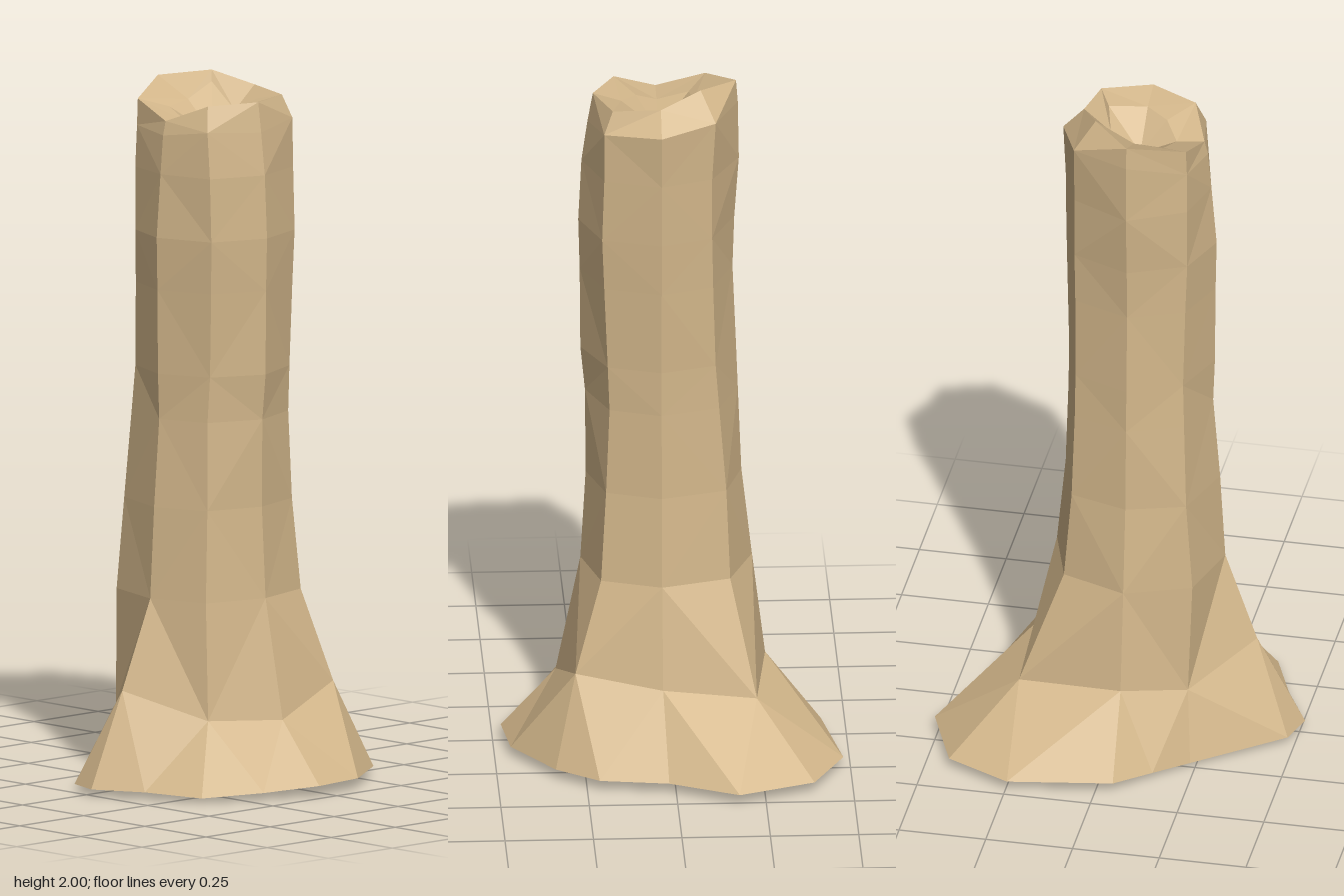
import * as THREE from 'three';

const bark = new THREE.MeshStandardMaterial({ color: 0xd2b68a, flatShading: true });
bark.name = 'bark';

// Eight corners run east, north-east, north ... south-east (north is the back).
function octagon([y, east, west, front, back, dEast, dWest, dFront, dBack]) {
  const cx = 0.03, cz = 0.04;
  return [
    [east, y, cz], [dEast, y, dBack], [cx, y, back], [dWest, y, dBack],
    [west, y, cz], [dWest, y, dFront], [cx, y, front], [dEast, y, dFront],
  ];
}

// Adds a point halfway along every side of a ring.
function withMidpoints(ring) {
  return ring.flatMap((p, i) => {
    const q = ring[(i + 1) % ring.length];
    return [p, p.map((v, k) => (v + q[k]) / 2)];
  });
}

const pointRing = (p, n) => Array.from({ length: n }, () => p);

// Skins a stack of rings with equal point counts, skipping empty triangles.
function skin(name, rings) {
  const pos = [];
  const same = (p, q) => p.every((v, k) => v === q[k]);
  const tri = (a, b, c) => {
    if (!same(a, b) && !same(b, c) && !same(a, c)) pos.push(...a, ...b, ...c);
  };
  for (let r = 0; r + 1 < rings.length; r++) {
    const lo = rings[r], hi = rings[r + 1], n = lo.length;
    for (let i = 0; i < n; i++) {
      const j = (i + 1) % n;
      if ((i + r) % 2) {
        tri(lo[i], lo[j], hi[j]);
        tri(lo[i], hi[j], hi[i]);
      } else {
        tri(lo[i], lo[j], hi[i]);
        tri(lo[j], hi[j], hi[i]);
      }
    }
  }
  const g = new THREE.BufferGeometry();
  g.setAttribute('position', new THREE.Float32BufferAttribute(pos, 3));
  g.computeVertexNormals();
  const mesh = new THREE.Mesh(g, bark);
  mesh.name = name;
  return mesh;
}

export function createModel() {
  const group = new THREE.Group();
  group.name = 'brokenTreeTrunk';

  // Uneven outline of the spreading roots on the ground
  const ground = [
    [0.475, 0.03, 0.045], [0.455, 0.03, -0.125], [0.335, 0.03, -0.3], [0.215, 0.03, -0.39],
    [0.02, 0.03, -0.42], [-0.175, 0.03, -0.515], [-0.39, 0.03, -0.43], [-0.48, 0.03, -0.245],
    [-0.43, 0.03, 0.05], [-0.335, 0.02, 0.145], [-0.245, 0.01, 0.235], [-0.07, 0.02, 0.48],
    [0.03, 0.02, 0.51], [0.17, 0.02, 0.435], [0.335, 0.015, 0.37], [0.41, 0.02, 0.2],
  ];

  // Where the roots meet the trunk
  const ankle = [
    [0.32, 0.2, 0.04], [0.275, 0.28, -0.2], [0.03, 0.25, -0.265], [-0.235, 0.22, -0.26],
    [-0.272, 0.24, 0.04], [-0.178, 0.21, 0.215], [0.015, 0.285, 0.375], [0.235, 0.21, 0.25],
  ];

  // Trunk sections: y, east, west, front, back, then the diagonal corners
  const sections = [
    [0.54, 0.25, -0.235, 0.28, -0.205, 0.2, -0.165, 0.225, -0.145],
    [0.8, 0.235, -0.205, 0.265, -0.18, 0.185, -0.155, 0.205, -0.125],
    [1.05, 0.237, -0.195, 0.245, -0.172, 0.175, -0.135, 0.195, -0.12],
    [1.18, 0.25, -0.19, 0.25, -0.17, 0.18, -0.125, 0.19, -0.12],
    [1.42, 0.252, -0.18, 0.252, -0.175, 0.19, -0.118, 0.195, -0.122],
    [1.57, 0.256, -0.185, 0.255, -0.178, 0.196, -0.115, 0.2, -0.125],
    [1.75, 0.247, -0.198, 0.24, -0.18, 0.19, -0.115, 0.2, -0.125],
  ].map(octagon);

  // Shoulder just below the broken edge
  const shoulder = [
    [0.23, 1.87, 0.038], [0.19, 1.89, -0.122], [0.03, 1.9, -0.187], [-0.125, 1.92, -0.125],
    [-0.195, 1.92, 0.04], [-0.11, 1.87, 0.198], [0.03, 1.86, 0.23], [0.175, 1.88, 0.195],
  ];

  // Jagged rim and the broken hollow inside it
  const rim = [
    [0.215, 1.955, 0.035], [0.165, 1.955, -0.105], [0.03, 1.965, -0.127], [-0.085, 2.0, -0.07],
    [-0.19, 1.985, 0.04], [-0.11, 1.945, 0.195], [0.03, 1.9, 0.22], [0.15, 1.95, 0.17],
  ];
  const lip = [
    [0.135, 1.93, 0.035], [0.1, 1.94, -0.07], [0.03, 1.9, -0.05], [-0.07, 1.97, -0.055],
    [-0.07, 1.93, 0.037], [-0.06, 1.92, 0.12], [0.03, 1.89, 0.14], [0.09, 1.92, 0.1],
  ];

  group.add(
    skin('underside', [pointRing([0, 0, 0], 16), ground]),
    skin('roots', [ground, withMidpoints(ankle)]),
    skin('trunk', [ankle, ...sections, shoulder, rim]),
    skin('hollowTop', [rim, lip, pointRing([0.03, 1.84, 0.035], 8)]),
  );
  return group;
}
